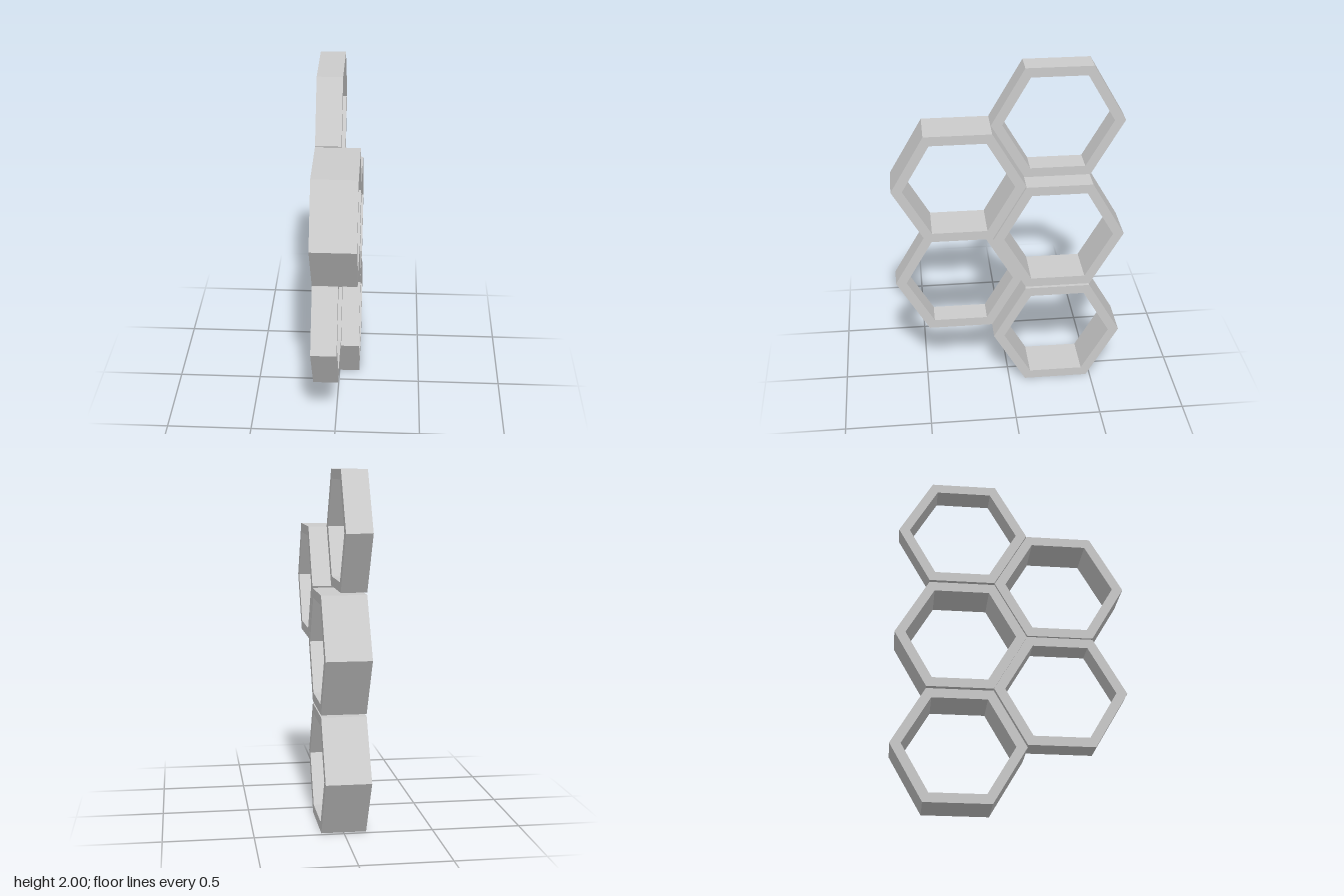
import * as THREE from 'three';

const OUTER = 0.38, INNER = 0.317, BACK = -0.127;

// Hexagon corners, with points to the sides and flats on top and bottom
function hexagon(radius) {
  return Array.from({ length: 6 }, (_, i) => {
    const a = (i * Math.PI) / 3;
    return new THREE.Vector2(radius * Math.cos(a), radius * Math.sin(a));
  });
}

// Open hexagonal frame whose depth runs along +x from the shared wall plane
function hexFrame(depth) {
  const shape = new THREE.Shape(hexagon(OUTER));
  shape.holes.push(new THREE.Path(hexagon(INNER).reverse()));
  const geometry = new THREE.ExtrudeGeometry(shape, { depth, bevelEnabled: false });
  return geometry.rotateY(Math.PI / 2);
}

export function createModel() {
  const group = new THREE.Group();
  group.name = 'honeycombShelf';
  const material = new THREE.MeshStandardMaterial({ color: 0xcccccc, flatShading: true });
  const deep = hexFrame(0.252);
  const shallow = hexFrame(0.145);

  // Three cells in the rear column, two nested between them in front
  const cells = [
    ['rearBottomCell', deep, 0.329, -0.286],
    ['rearMiddleCell', deep, 1.0, -0.286],
    ['rearTopCell', shallow, 1.671, -0.286],
    ['frontLowerCell', shallow, 0.673, 0.286],
    ['frontUpperCell', deep, 1.338, 0.286],
  ];
  for (const [name, geometry, y, z] of cells) {
    const cell = new THREE.Mesh(geometry, material);
    cell.name = name;
    cell.position.set(BACK, y, z);
    group.add(cell);
  }
  return group;
}
